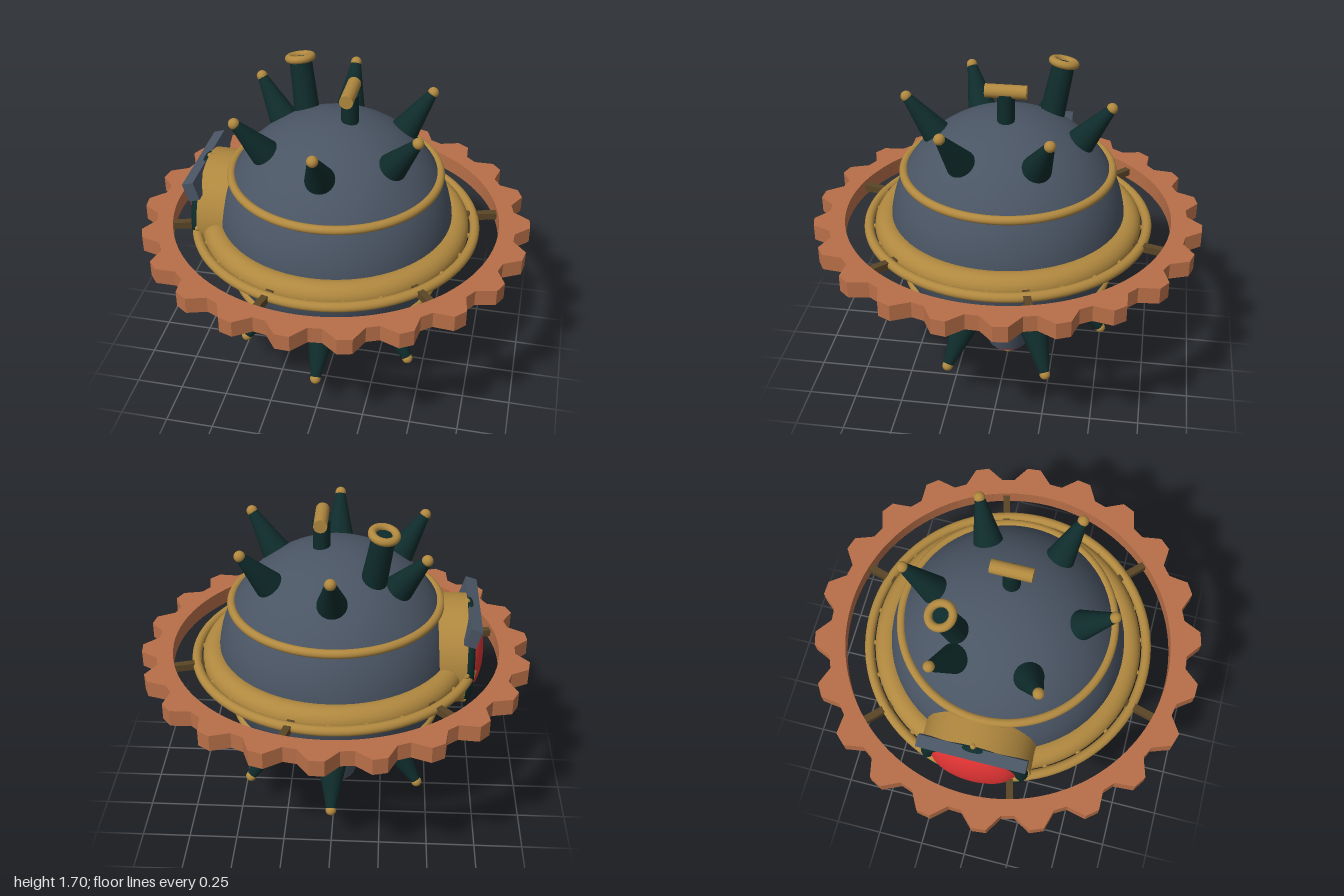
import * as THREE from 'three';

const mat = (name, color) => {
  const m = new THREE.MeshStandardMaterial({ color });
  m.name = name;
  return m;
};

export function createModel() {
  const slate = mat('slate', 0x4a5564);
  const brass = mat('brass', 0xb0883f);
  const copper = mat('copper', 0xb86f48);
  const darkTeal = mat('darkTeal', 0x0f2b2b);
  const red = mat('red', 0xdc3232);
  const bronze = mat('darkBronze', 0x5a4526);

  const model = new THREE.Group();
  model.name = 'spikedSphereMachine';
  const Y = 0.88; // height of the sphere centre
  const UP = new THREE.Vector3(0, 1, 0);

  const add = (name, geo, material, x = 0, y = 0, z = 0, parent = model) => {
    const m = new THREE.Mesh(geo, material);
    m.name = name;
    m.position.set(x, y, z);
    parent.add(m);
    return m;
  };
  // Tapered rod between two points
  const rod = (name, a, b, ra, rb, material, parent = model) => {
    const dir = b.clone().sub(a);
    const mid = a.clone().add(b).multiplyScalar(0.5);
    const m = add(name, new THREE.CylinderGeometry(rb, ra, dir.length(), 32), material, mid.x, mid.y, mid.z, parent);
    m.quaternion.setFromUnitVectors(UP, dir.normalize());
    return m;
  };
  // Horizontal ring around the body
  const ring = (name, R, r, y) =>
    add(name, new THREE.TorusGeometry(R, r, 20, 96).rotateX(Math.PI / 2), brass, 0, y, 0);

  // Body and its brass rings
  add('body', new THREE.SphereGeometry(0.603, 64, 48), slate, 0, Y, 0);
  ring('upperBand', 0.528, 0.022, 1.183);
  ring('lowerBand', 0.528, 0.022, 0.575);
  ring('equatorBand', 0.62, 0.07, Y);
  ring('outerRing', 0.72, 0.025, Y);

  // Rivets around the equator band
  const rivetGeo = new THREE.SphereGeometry(0.013, 12, 8);
  for (let i = 0; i < 24; i++) {
    const a = (i / 24) * Math.PI * 2;
    add('equatorRivet', rivetGeo, brass, Math.sin(a) * 0.689, Y, Math.cos(a) * 0.689);
  }

  // Toothed wheel
  const teeth = 22;
  const shape = new THREE.Shape();
  for (let i = 0; i < teeth; i++) {
    [[0, 1], [0.25, 1], [0.5, 0.925], [0.75, 0.925]].forEach(([f, r], j) => {
      const a = ((i + f) / teeth) * Math.PI * 2;
      const x = Math.sin(a) * r, y = Math.cos(a) * r;
      if (i + j === 0) shape.moveTo(x, y);
      else shape.lineTo(x, y);
    });
  }
  shape.closePath();
  const hole = new THREE.Path();
  hole.absarc(0, 0, 0.842, 0, Math.PI * 2, false);
  shape.holes.push(hole);
  const gearGeo = new THREE.ExtrudeGeometry(shape, { depth: 0.085, bevelEnabled: false, curveSegments: 64 });
  add('gearWheel', gearGeo.rotateX(-Math.PI / 2), copper, 0, 0.836, 0);

  // Spokes joining the wheel to the body
  for (let i = 0; i < 6; i++) {
    const a = THREE.MathUtils.degToRad(15 + 60 * i);
    const spoke = add('spoke', new THREE.BoxGeometry(0.036, 0.036, 0.19), bronze,
      Math.sin(a) * 0.765, Y, -Math.cos(a) * 0.765);
    spoke.rotation.y = -a;
  }

  // Two rings of ball-tipped spikes
  const ballGeo = new THREE.SphereGeometry(0.028, 20, 14);
  for (const side of [1, -1]) {
    for (let i = 0; i < 6; i++) {
      const a = (i / 6) * Math.PI * 2;
      const dir = new THREE.Vector3(Math.sin(a) * 0.512, side * 0.662, Math.cos(a) * 0.512).normalize();
      const at = (r) => dir.clone().multiplyScalar(r).add(new THREE.Vector3(0, Y, 0));
      const g = new THREE.Group();
      g.name = side > 0 ? 'upperSpike' : 'lowerSpike';
      model.add(g);
      rod('spikeCone', at(0.56), at(0.83), 0.082, 0.025, darkTeal, g);
      const tip = at(0.835);
      add('spikeTip', ballGeo, brass, tip.x, tip.y, tip.z, g);
    }
  }

  // Leaning chimney with a brass lip
  const base = new THREE.Vector3(-0.188, 1.36, -0.192);
  const top = new THREE.Vector3(-0.237, 1.668, -0.25);
  rod('chimney', base, top, 0.066, 0.056, darkTeal);
  const lip = add('chimneyLip', new THREE.TorusGeometry(0.058, 0.02, 16, 40).rotateX(Math.PI / 2), brass, top.x, top.y, top.z);
  lip.quaternion.setFromUnitVectors(UP, top.clone().sub(base).normalize());

  // Periscope
  add('periscopeTube', new THREE.CylinderGeometry(0.043, 0.043, 0.2, 32), darkTeal, 0.07, 1.52, 0);
  add('periscopeHead', new THREE.CylinderGeometry(0.034, 0.034, 0.205, 32).rotateX(Math.PI / 2), brass, 0.07, 1.63, 0);

  // Eye port on the right side
  const eye = new THREE.Group();
  eye.name = 'eyePort';
  eye.position.y = 0.912;
  model.add(eye);
  add('eyeHousing', new THREE.CylinderGeometry(0.283, 0.283, 0.26, 64).rotateZ(Math.PI / 2), brass, -0.535, 0, 0, eye);
  add('eyeRim', new THREE.TorusGeometry(0.24, 0.036, 20, 64).rotateY(Math.PI / 2), darkTeal, -0.669, 0, 0, eye);
  const lens = add('eyeLens', new THREE.SphereGeometry(0.225, 48, 32), red, -0.665, 0, 0, eye);
  lens.scale.x = 0.43;
  for (let i = 0; i < 8; i++) {
    const a = (i / 8) * Math.PI * 2;
    add('eyeRivet', new THREE.SphereGeometry(0.016, 12, 8), brass, -0.664, Math.cos(a) * 0.272, Math.sin(a) * 0.272, eye);
  }
  const visor = add('eyeVisor', new THREE.BoxGeometry(0.06, 0.1, 0.54), slate, -0.685, 0.215, 0, eye);
  visor.rotation.z = 0.3;

  // Nozzle underneath
  add('nozzle', new THREE.CylinderGeometry(0.157, 0.107, 0.18, 48), slate, 0, 0.18, 0);
  add('nozzleGlow', new THREE.CylinderGeometry(0.1, 0.098, 0.012, 48), red, 0, 0.086, 0);
  add('nozzlePin', new THREE.CylinderGeometry(0.035, 0.024, 0.05, 24), darkTeal, 0, 0.062, 0);
  add('nozzleTip', ballGeo, brass, 0, 0.028, 0);

  return model;
}
